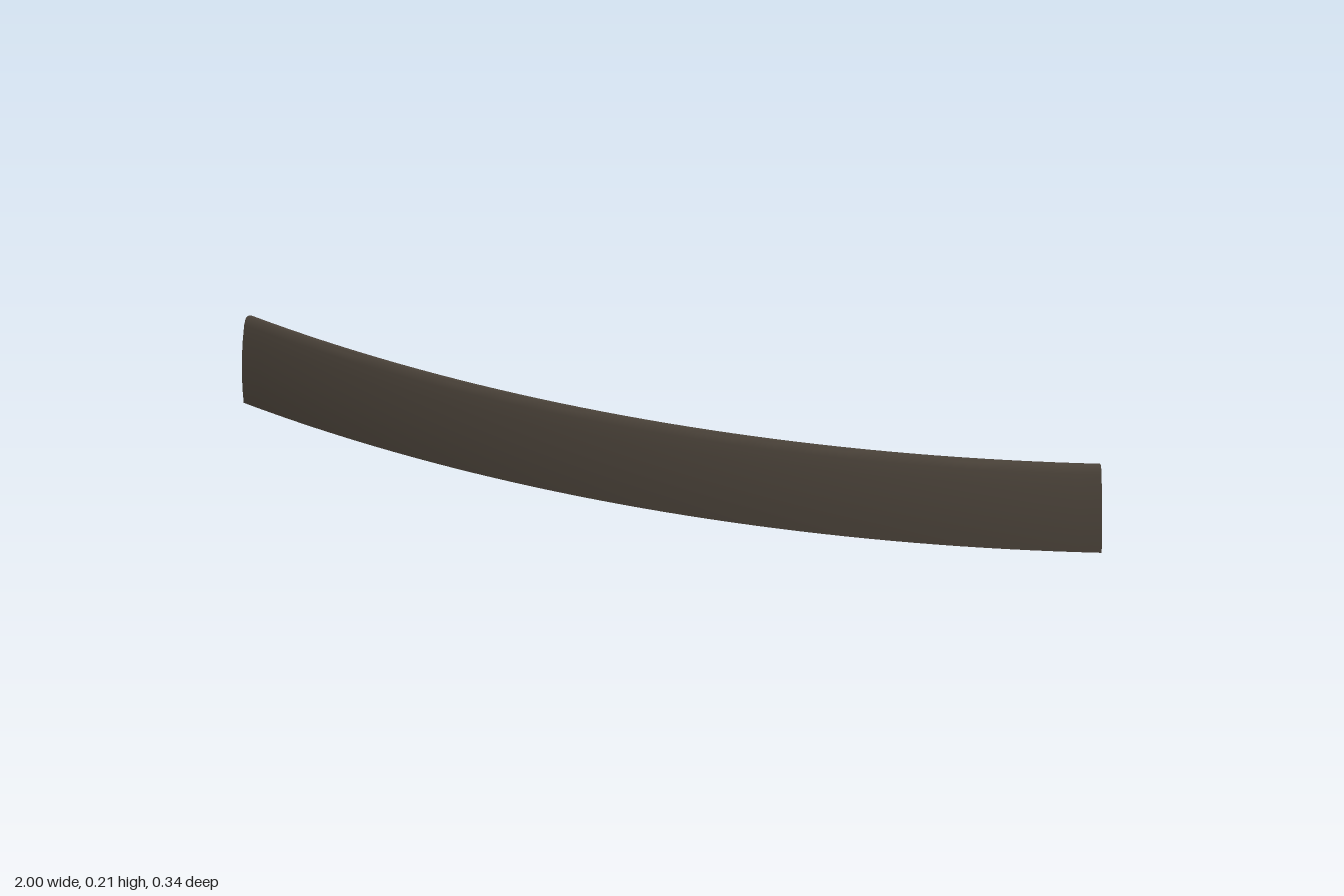
import * as THREE from 'three';
import { toCreasedNormals } from 'three/addons/utils/BufferGeometryUtils.js';

// Cross-section at the mitred end, as [z, y]: front plate, sloped back plate, hooked lip
const PROFILE = [
  [-0.004, 0.003], [-0.001, 0.04], [0, 0.08], [0, 0.115], [-0.002, 0.155], [-0.005, 0.188],
  [-0.008, 0.202], [-0.012, 0.207], [-0.019, 0.207], [-0.025, 0.202], [-0.036, 0.186],
  [-0.06, 0.146], [-0.09, 0.091], [-0.113, 0.049], [-0.126, 0.024],
  [-0.16, 0.05], [-0.166, 0.05], [-0.167, 0.046], [-0.155, 0.028], [-0.133, 0.008], [-0.122, 0.008],
  [-0.016, 0.195], [-0.013, 0.195], [-0.013, 0.003],
];
const RADIUS = 2.98;              // arc of the front face
const CENTRE_Z = 0.167 - RADIUS;  // arc centre behind the strip
const MITRE = 0.645;              // slant of the end cuts
const SEGMENTS = 40;

// Sweep the section along concentric arcs, each ending on the mitre plane
function sweptStrip() {
  const n = PROFILE.length;
  const positions = [];
  const index = [];
  for (let i = 0; i <= SEGMENTS; i++) {
    const t = (2 * i) / SEGMENTS - 1;
    for (const [z, y] of PROFILE) {
      const endX = 1 + MITRE * z;
      const r = Math.hypot(endX, z - CENTRE_Z);
      const angle = t * Math.atan2(endX, z - CENTRE_Z);
      // the ends droop very slightly
      positions.push(r * Math.sin(angle), y - 0.003 * t * t, CENTRE_Z + r * Math.cos(angle));
    }
  }
  for (let i = 0; i < SEGMENTS; i++) {
    for (let j = 0; j < n; j++) {
      const k = (j + 1) % n;
      const a = i * n + j, b = i * n + k, c = b + n, d = a + n;
      index.push(a, d, c, a, c, b);
    }
  }
  // End caps
  const outline = PROFILE.map(([z, y]) => new THREE.Vector2(-z, y));
  const last = SEGMENTS * n;
  for (const [a, b, c] of THREE.ShapeUtils.triangulateShape(outline, [])) {
    const ccw = THREE.ShapeUtils.area([outline[a], outline[b], outline[c]]) > 0;
    const [p, q] = ccw ? [b, c] : [c, b];
    index.push(last + a, last + p, last + q, a, q, p);
  }
  const geometry = new THREE.BufferGeometry();
  geometry.setAttribute('position', new THREE.Float32BufferAttribute(positions, 3));
  geometry.setIndex(index);
  return toCreasedNormals(geometry, 0.6);
}

export function createModel() {
  const group = new THREE.Group();
  group.name = 'curvedTrim';
  const darkBrown = new THREE.MeshStandardMaterial({ color: 0x4a4239, side: THREE.DoubleSide });
  darkBrown.name = 'darkBrown';
  const strip = new THREE.Mesh(sweptStrip(), darkBrown);
  strip.name = 'trimStrip';
  group.add(strip);
  return group;
}
